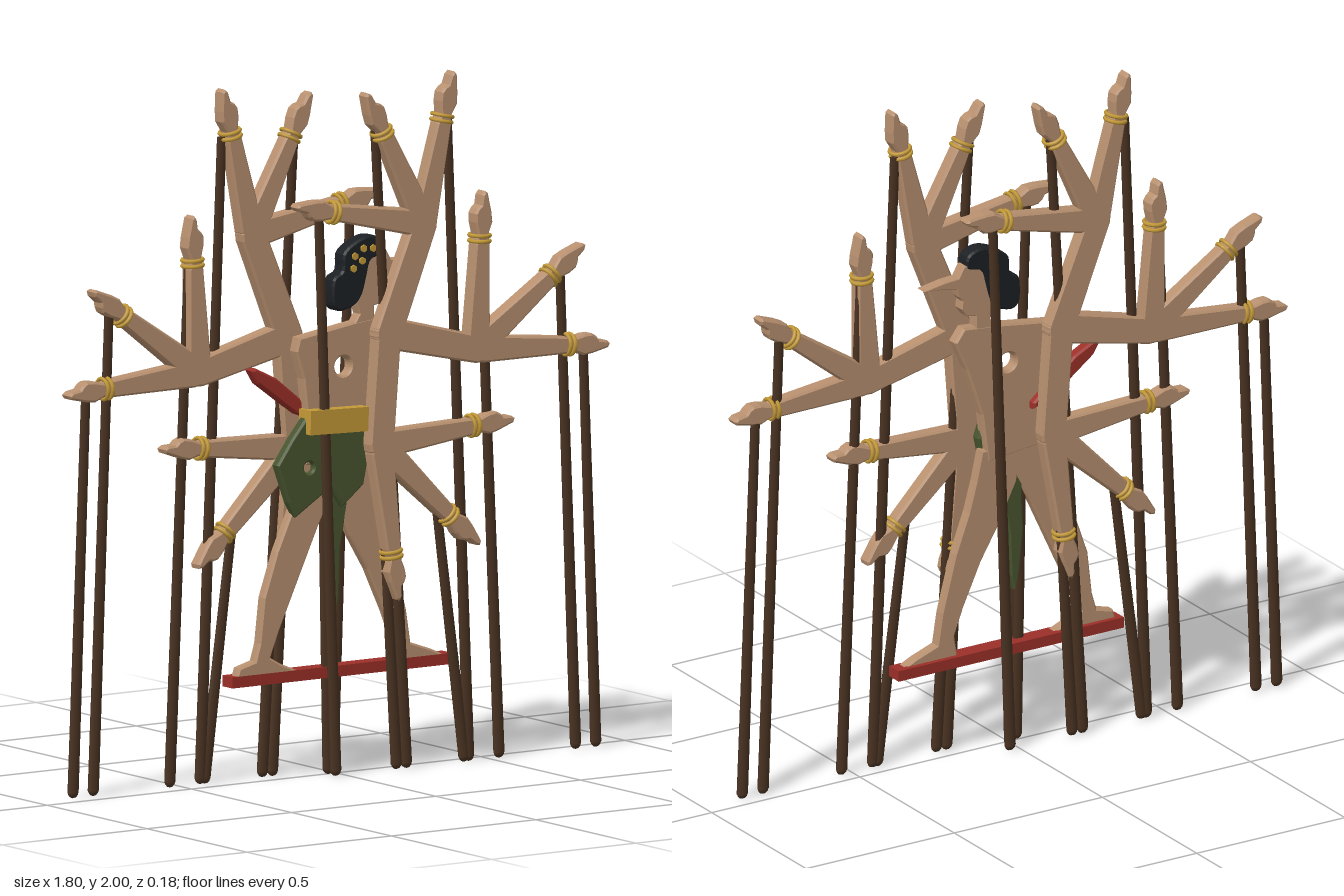
import * as THREE from 'three';

const mat = (name, color, side = THREE.FrontSide) => {
  const m = new THREE.MeshStandardMaterial({ color, side });
  m.name = name;
  return m;
};

export function createModel() {
  const root = new THREE.Group();
  root.name = 'shadowPuppet';
  const skin = mat('skin', 0xb8906f);
  const wood = mat('darkWood', 0x4a3322);
  const green = mat('greenCloth', 0x48552f);
  const gold = mat('gold', 0xc49a38);
  const red = mat('redWood', 0x9c2f28);
  const black = mat('blackHair', 0x1c2024);

  const add = (parent, name, geo, material) => {
    const mesh = new THREE.Mesh(geo, material);
    mesh.name = name;
    parent.add(mesh);
    return mesh;
  };

  // Flat cut-out with chamfered rim, filling z0..z1; holes are [x, y, r]
  const plate = (parent, name, pts, z0, z1, material, { holes = [], bevel = 0.006, smooth = false } = {}) => {
    const v = pts.map(p => new THREE.Vector2(p[0], p[1]));
    const shape = smooth
      ? new THREE.Shape(new THREE.SplineCurve([...v, v[0]]).getPoints(48).slice(0, -1))
      : new THREE.Shape(v);
    for (const [x, y, r] of holes) shape.holes.push(new THREE.Path().absarc(x, y, r, 0, Math.PI * 2, true));
    const geo = new THREE.ExtrudeGeometry(shape, {
      depth: z1 - z0 - 2 * bevel, bevelEnabled: bevel > 0, bevelSize: bevel,
      bevelThickness: bevel, bevelOffset: -bevel, bevelSegments: 1, curveSegments: 12,
    });
    geo.translate(0, 0, z0 + bevel);
    return add(parent, name, geo, material);
  };

  // Straight tapered limb between two points, with rounded ends
  const limb = (parent, name, a, b, wa, wb, z) => {
    const t = Math.atan2(b[1] - a[1], b[0] - a[0]);
    const pts = [];
    for (let i = 0; i <= 6; i++) {
      const q = t + Math.PI / 2 + i * Math.PI / 6;
      pts.push([a[0] + wa * Math.cos(q), a[1] + wa * Math.sin(q)]);
    }
    for (let i = 0; i <= 6; i++) {
      const q = t - Math.PI / 2 + i * Math.PI / 6;
      pts.push([b[0] + wb * Math.cos(q), b[1] + wb * Math.sin(q)]);
    }
    plate(parent, name, pts, z - 0.022, z + 0.022, skin);
  };

  // Forearm ending in a pointed hand, plus two gold bangles
  const forearm = (parent, a, tip, z, flip) => {
    const g = new THREE.Group();
    g.name = 'forearm';
    const dx = tip[0] - a[0], dy = tip[1] - a[1];
    const L = Math.hypot(dx, dy), w = L - 0.135;
    const outline = [
      [-0.02, -0.03], [0.02, -0.039], [w - 0.02, -0.025], [w + 0.01, -0.019], [w + 0.045, -0.031],
      [w + 0.075, -0.026], [L - 0.006, -0.011], [L, 0], [L - 0.012, 0.009], [w + 0.095, 0.012],
      [w + 0.085, 0.023], [w + 0.07, 0.031], [w + 0.045, 0.029], [w + 0.01, 0.019],
      [w - 0.02, 0.025], [0.02, 0.039], [-0.02, 0.03],
    ];
    const pts = outline.map(([x, y]) => [x, y * flip]);
    if (flip < 0) pts.reverse();
    plate(g, 'armAndHand', pts, -0.022, 0.022, skin);
    for (const d of [-0.008, 0.008]) {
      const ring = new THREE.TorusGeometry(0.03, 0.006, 6, 18);
      ring.rotateY(Math.PI / 2);
      ring.translate(w - 0.002 + d, 0, 0);
      add(g, 'bangle', ring, gold);
    }
    g.position.set(a[0], a[1], z);
    g.rotation.z = Math.atan2(dy, dx);
    parent.add(g);
  };

  // Slightly flattened rod from the ground to a hand
  const rod = (parent, bottomX, top, z) => {
    const dx = top[0] - bottomX, L = Math.hypot(dx, top[1]);
    const geo = new THREE.CylinderGeometry(0.015, 0.018, L - 0.015, 10);
    geo.translate(0, 0.0075, 0);
    const foot = new THREE.SphereGeometry(0.018, 10, 6);
    foot.translate(0, -L / 2 + 0.018, 0);
    const g = new THREE.Group();
    g.name = 'controlRod';
    add(g, 'rod', geo, wood);
    add(g, 'rodEnd', foot, wood);
    g.scale.z = 0.6;
    g.position.set((bottomX + top[0]) / 2, top[1] / 2, z);
    g.rotation.z = -Math.atan2(dx, top[1]);
    parent.add(g);
  };

  // Nine-handed arm fans: one before the body, its mirror behind
  const fans = [
    { joint: [0.26, 1.57], tips: [[0.36, 2.0], [0.06, 1.965], [-0.185, 1.655]] },
    { joint: [0.444, 1.19], tips: [[0.9, 1.165], [0.815, 1.457], [0.466, 1.645]] },
    { joint: [0.11, 0.945], tips: [[0.57, 0.98], [0.45, 0.625], [0.172, 0.49]] },
  ];
  const rods = [
    [0.87, 0.825, 1.17], [0.80, 0.745, 1.39], [0.535, 0.47, 1.5], [0.43, 0.355, 1.86],
    [0.215, 0.105, 1.85], [0.18, 0.14, 0.65], [0.415, 0.32, 0.73], [-0.03, -0.09, 1.64],
  ];
  for (const s of [1, -1]) {
    const g = new THREE.Group();
    g.name = s > 0 ? 'leftArms' : 'rightArms';
    root.add(g);
    const z = s * 0.054, m = p => [p[0] * s, p[1]];
    const shoulder = [0.135, 1.265];
    limb(g, 'upperArmHigh', m(shoulder), m(fans[0].joint), 0.046, 0.042, z);
    limb(g, 'upperArmMiddle', m(shoulder), m(fans[1].joint), 0.046, 0.04, z);
    limb(g, 'upperArmLow', m(shoulder), m(fans[2].joint), 0.042, 0.042, z);
    for (const f of fans)
      f.tips.forEach((t, i) => forearm(g, m(f.joint), m(t), z, i === 1 ? -s : s));
    for (const [b, x, y] of rods) rod(g, b * s, [x * s, y], s > 0 ? 0.043 : -0.059);
  }

  // Body
  const body = new THREE.Group();
  body.name = 'body';
  root.add(body);
  plate(body, 'torso', [
    [-0.14, 1.27], [-0.15, 1.23], [-0.125, 1.15], [-0.11, 1.02], [-0.12, 0.9], [0.08, 0.88],
    [0.1, 1.03], [0.15, 1.18], [0.19, 1.27], [0.16, 1.31], [0.06, 1.3],
  ], -0.02, 0.02, skin, { holes: [[0.012, 1.175, 0.028]] });
  plate(body, 'head', [
    [0.03, 1.26], [0.07, 1.32], [0.05, 1.38], [0.06, 1.47], [0.11, 1.51], [0.16, 1.5], [0.178, 1.468],
    [0.225, 1.465], [0.295, 1.452], [0.22, 1.443], [0.185, 1.435], [0.178, 1.41], [0.165, 1.395],
    [0.168, 1.37], [0.15, 1.345], [0.12, 1.34], [0.12, 1.26],
  ], -0.019, 0.019, skin, { bevel: 0.003 });
  plate(body, 'hair', [
    [-0.03, 1.38], [-0.025, 1.43], [0.005, 1.45], [0.01, 1.5], [0.05, 1.53], [0.1, 1.545],
    [0.145, 1.53], [0.15, 1.49], [0.105, 1.475], [0.09, 1.43], [0.075, 1.38], [0.05, 1.35],
    [0.0, 1.335], [-0.025, 1.35],
  ], -0.022, 0.028, black, { smooth: true });
  for (const [x, y] of [[0.04, 1.455], [0.045, 1.49], [0.075, 1.51], [0.108, 1.508], [0.07, 1.475]]) {
    const geo = new THREE.CylinderGeometry(0.011, 0.011, 0.008, 6);
    geo.rotateX(Math.PI / 2);
    add(body, 'hairOrnament', geo, gold).position.set(x, y, 0.03);
  }

  // Legs with feet turned the same way
  plate(body, 'rightLeg', [
    [-0.14, 0.92], [-0.16, 0.78], [-0.215, 0.66], [-0.26, 0.53], [-0.275, 0.4], [-0.29, 0.35],
    [-0.345, 0.335], [-0.355, 0.305], [-0.335, 0.285], [-0.135, 0.285], [-0.14, 0.31], [-0.2, 0.335],
    [-0.235, 0.355], [-0.205, 0.43], [-0.14, 0.57], [-0.07, 0.72], [-0.01, 0.83], [0, 0.92],
  ], -0.018, 0.016, skin);
  plate(body, 'leftLeg', [
    [-0.04, 0.92], [-0.02, 0.8], [0.04, 0.68], [0.1, 0.58], [0.16, 0.45], [0.19, 0.37], [0.18, 0.31],
    [0.19, 0.285], [0.37, 0.285], [0.375, 0.305], [0.32, 0.33], [0.25, 0.355], [0.235, 0.45],
    [0.19, 0.62], [0.145, 0.74], [0.12, 0.83], [0.1, 0.92],
  ], -0.018, 0.016, skin);

  // Clothing
  plate(body, 'loincloth', [
    [-0.125, 1.04], [-0.175, 0.98], [-0.225, 0.91], [-0.185, 0.8], [-0.16, 0.755], [-0.04, 0.83],
    [0.0, 0.77], [0.075, 0.83], [0.1, 0.95], [0.07, 1.04],
  ], 0.0, 0.034, green, { holes: [[-0.115, 0.895, 0.016]] });
  plate(body, 'clothTail', [
    [-0.045, 0.9], [-0.04, 0.74], [-0.045, 0.65], [-0.03, 0.51], [-0.015, 0.465], [0.0, 0.51],
    [0.005, 0.65], [0.03, 0.78], [0.04, 0.9],
  ], -0.015, 0.018, green);
  const belt = add(body, 'belt', new THREE.BoxGeometry(0.2, 0.07, 0.06), gold);
  belt.position.set(-0.027, 1.025, 0.028);
  belt.rotation.z = -0.03;

  // Red sash stick and footboard
  plate(body, 'sashStick', [
    [-0.29, 1.185], [-0.265, 1.145], [-0.13, 1.045], [-0.06, 1.02], [-0.06, 1.04], [-0.125, 1.095],
    [-0.2, 1.155], [-0.27, 1.19],
  ], -0.042, -0.005, red);
  add(root, 'footboard', new THREE.BoxGeometry(0.76, 0.032, 0.05), red).position.set(0.01, 0.296, -0.008);
  rod(root, -0.03, [-0.05, 0.95], 0.004);
  return root;
}
